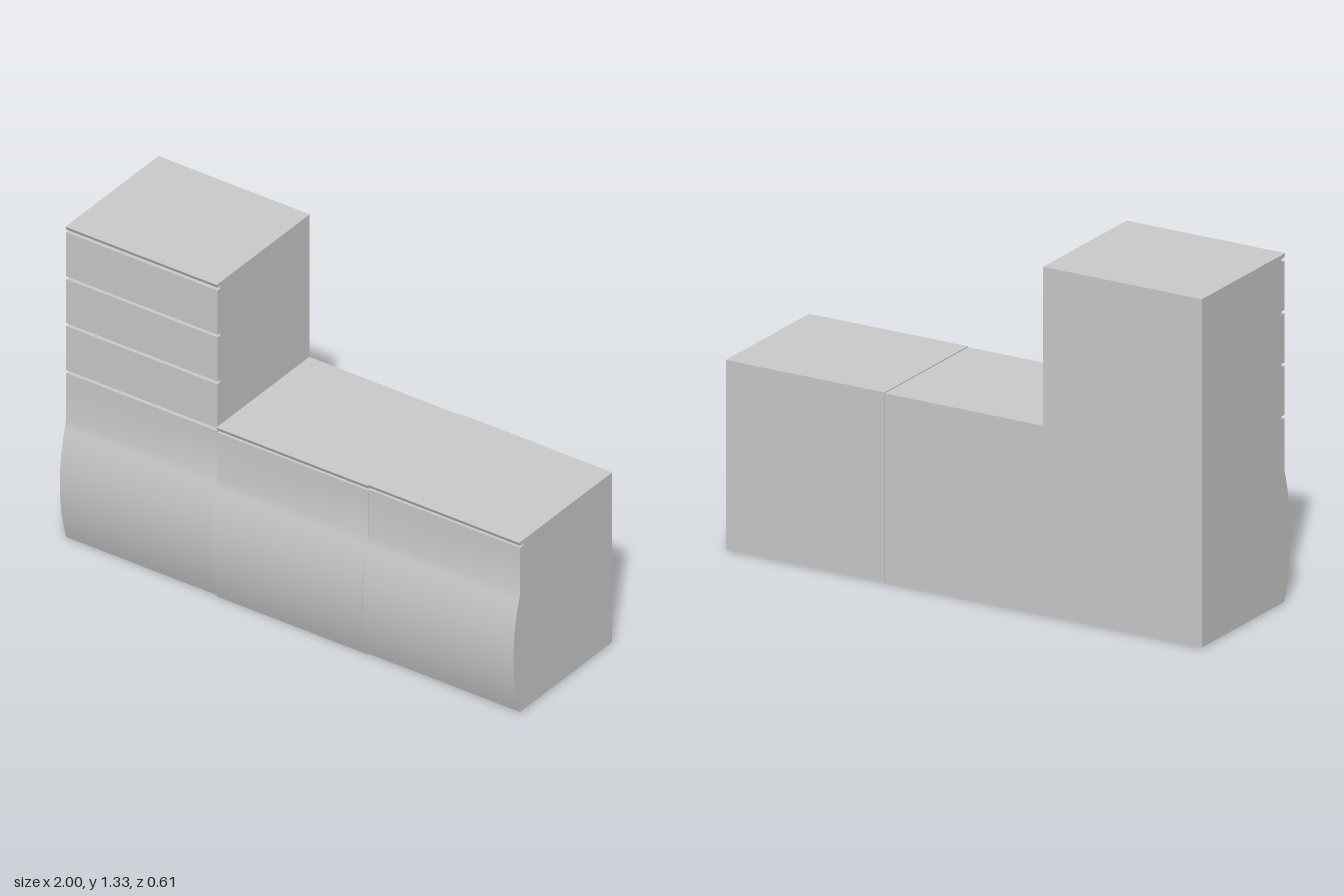
import * as THREE from 'three';
import { toCreasedNormals } from 'three/addons/utils/BufferGeometryUtils.js';

const BACK = -0.305, CARCASS_FRONT = 0.245, PANEL_FRONT = 0.265;
const BULGE_TOP = 0.5, BULGE_DEPTH = 0.04, GAP = 0.012, TOP_THICKNESS = 0.015;

const material = new THREE.MeshStandardMaterial({ color: 0xcccccc });

// Extrude a side profile of [z, y] points across the width from x0 to x1
function extrudeAcross(name, points, x0, x1) {
  const shape = new THREE.Shape(points.map(([z, y]) => new THREE.Vector2(z, y)));
  const geometry = new THREE.ExtrudeGeometry(shape, { depth: x1 - x0, bevelEnabled: false });
  geometry.rotateY(-Math.PI / 2).translate(x1, 0, 0);
  const mesh = new THREE.Mesh(toCreasedNormals(geometry, 0.35), material);
  mesh.name = name;
  return mesh;
}

// Bowed lower front, ordered from the floor up
function bulge(frontZ, segments = 14) {
  return Array.from({ length: segments + 1 }, (_, i) => {
    const t = i / segments;
    return [frontZ + BULGE_DEPTH * 4 * t * (1 - t), BULGE_TOP * t];
  });
}

// One cabinet: bowed carcass, bowed front panel, drawer fronts and a top
function cabinet(name, x0, x1, height, drawerCount) {
  const group = new THREE.Group();
  group.name = name;
  const underside = height - TOP_THICKNESS;
  const panelTop = 0.7;

  group.add(extrudeAcross('carcass',
    [[BACK, 0], ...bulge(CARCASS_FRONT), [CARCASS_FRONT, underside], [BACK, underside]], x0, x1));

  group.add(extrudeAcross('bowedFrontPanel',
    [...bulge(PANEL_FRONT), [PANEL_FRONT, panelTop], [CARCASS_FRONT, panelTop],
      ...bulge(CARCASS_FRONT).reverse()], x0, x1));

  // Drawer fronts separated by narrow finger grooves
  const pitch = (underside - panelTop - GAP) / Math.max(drawerCount, 1);
  for (let i = 0; i < drawerCount; i++) {
    const y0 = panelTop + GAP + i * pitch, y1 = y0 + pitch - GAP;
    group.add(extrudeAcross('drawerFront',
      [[CARCASS_FRONT, y0], [PANEL_FRONT, y0], [PANEL_FRONT, y1], [CARCASS_FRONT, y1]], x0, x1));
  }

  // Top with a slightly sloping front edge
  group.add(extrudeAcross('top',
    [[BACK, underside], [PANEL_FRONT, underside], [PANEL_FRONT + 0.006, height], [BACK, height]], x0, x1));
  return group;
}

export function createModel() {
  const model = new THREE.Group();
  model.name = 'cabinetRow';
  const third = 1 / 3;

  const tall = cabinet('tallDrawerCabinet', -1, -third, 1.327, 3);
  const middle = cabinet('middleCabinet', -third, third, 0.724, 0);
  const end = cabinet('endCabinet', third, 1, 0.724, 0);

  // The middle unit sits a hair lower and further forward than its neighbours
  tall.position.y = end.position.y = 0.004;
  middle.position.z = 0.002;

  model.add(tall, middle, end);
  return model;
}
